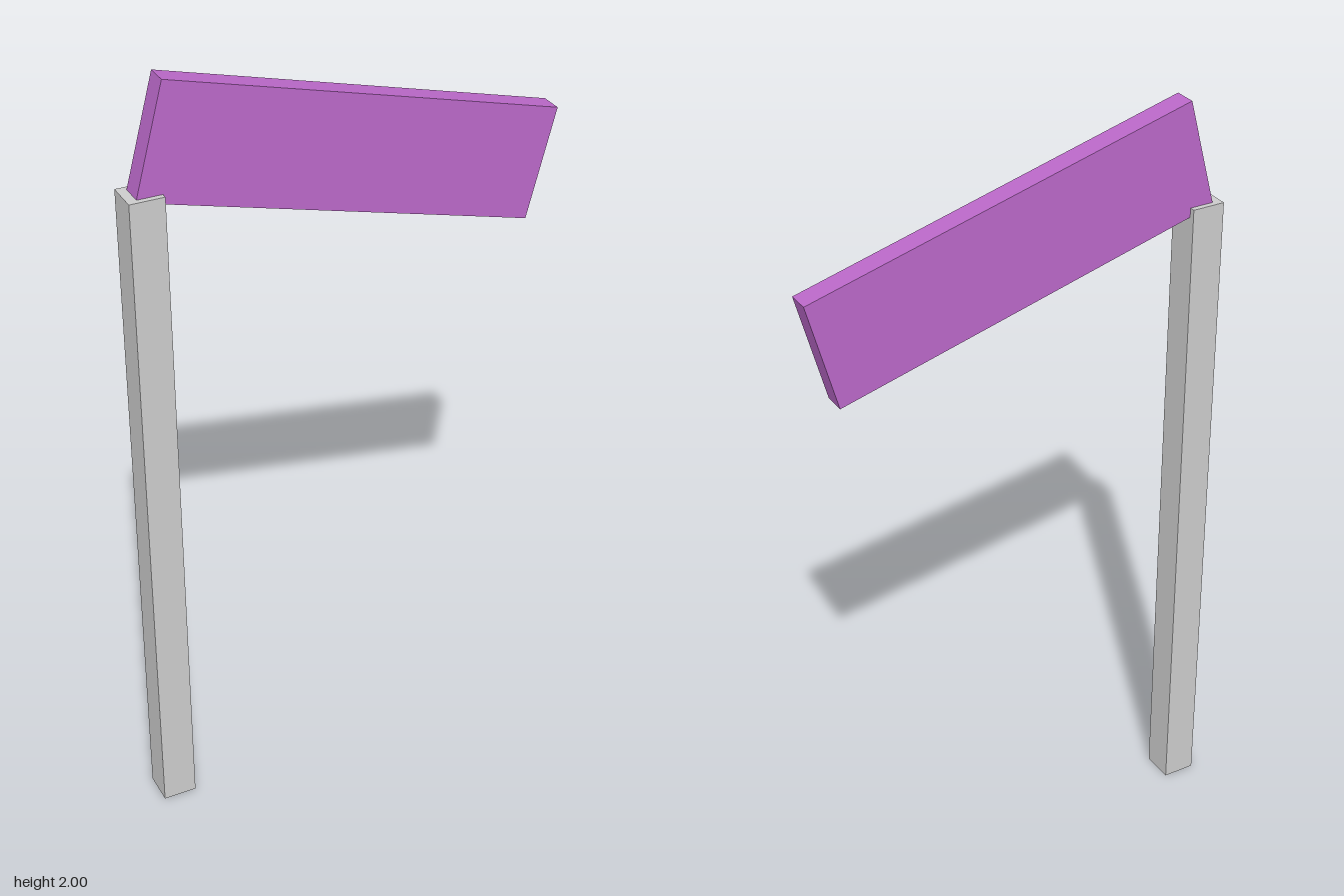
import * as THREE from 'three';

export function createModel() {
  const model = new THREE.Group();
  model.name = 'signpost';

  const grey = new THREE.MeshStandardMaterial({ color: 0xcccccc });
  grey.name = 'post grey';
  const purple = new THREE.MeshStandardMaterial({ color: 0xba68c8 });
  purple.name = 'board purple';

  function addBox(name, material, size, position) {
    const mesh = new THREE.Mesh(new THREE.BoxGeometry(...size), material);
    mesh.name = name;
    mesh.position.set(...position);
    model.add(mesh);
    return mesh;
  }

  // Upright square post
  addBox('post', grey, [0.086, 1.73, 0.086], [-0.505, 0.865, 0]);

  // Tilted board, sloping down away from the post
  const board = addBox('board', purple, [1.034, 0.287, 0.058], [0.01, 1.728, 0]);
  board.rotation.z = THREE.MathUtils.degToRad(-15);

  return model;
}
